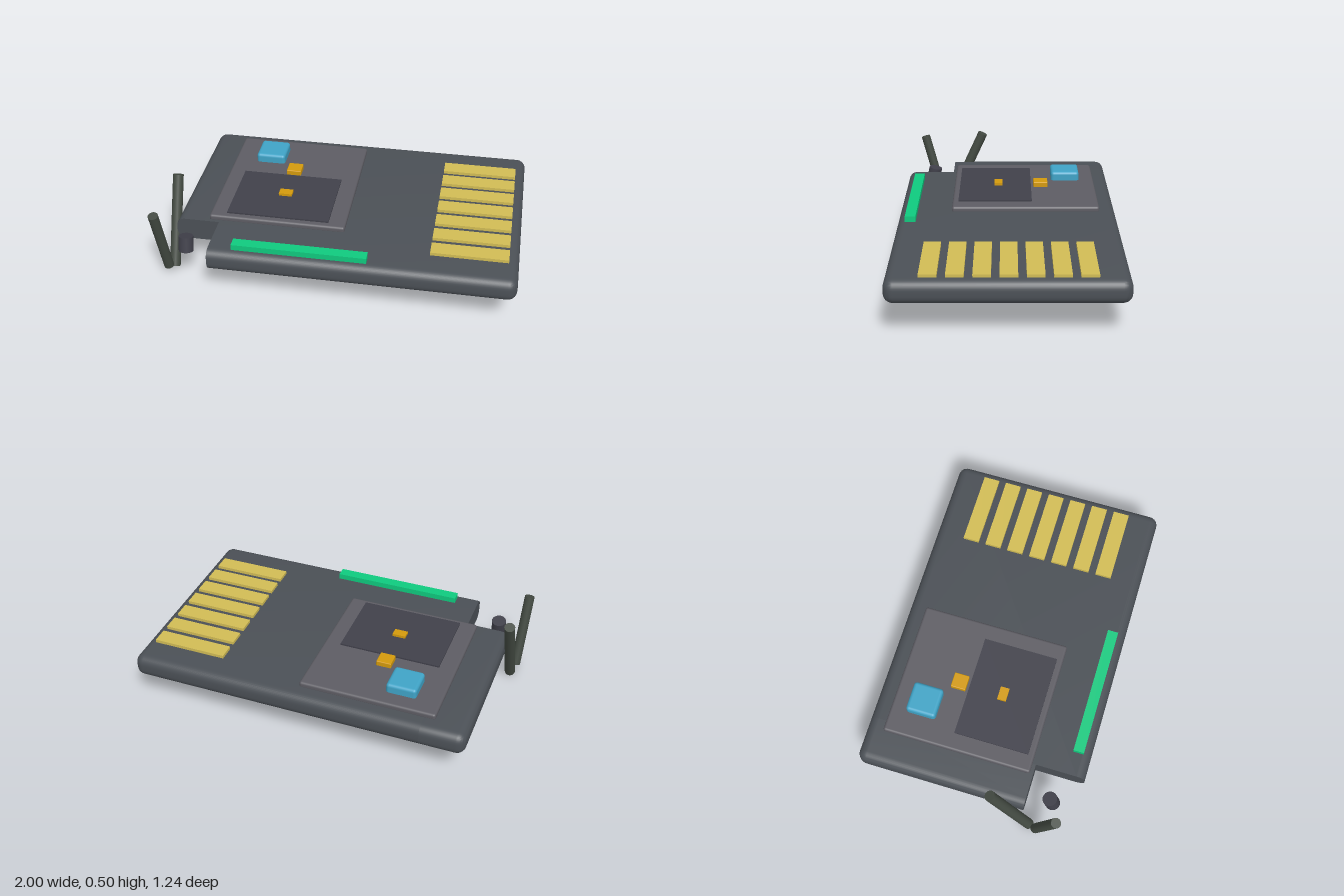
import * as THREE from 'three';
import { toCreasedNormals } from 'three/addons/utils/BufferGeometryUtils.js';
import { RoundedBoxGeometry } from 'three/addons/geometries/RoundedBoxGeometry.js';

const mat = (color) => new THREE.MeshStandardMaterial({ color });
const slate = mat(0x4b5056), panelGrey = mat(0x5d5c63), charcoal = mat(0x40404a), gold = mat(0xd1bc55);
const blue = mat(0x3fa3c6), amber = mat(0xd39a0c), green = mat(0x0fc97e), olive = mat(0x434a42);

export function createModel() {
  const model = new THREE.Group();

  const add = (name, geometry, material) => {
    const mesh = new THREE.Mesh(geometry, material);
    mesh.name = name;
    model.add(mesh);
    return mesh;
  };

  // Block given by its extents; radius > 0 rounds its edges
  const block = (name, material, [x0, x1], [y0, y1], [z0, z1], radius = 0) => {
    const size = [x1 - x0, y1 - y0, z1 - z0];
    const geometry = radius ? new RoundedBoxGeometry(...size, 3, radius) : new THREE.BoxGeometry(...size);
    add(name, geometry, material).position.set((x0 + x1) / 2, (y0 + y1) / 2, (z0 + z1) / 2);
  };

  // Rounded slab cut flat where it crosses the given limits
  const cutSlab = (name, xMin, xMax, zMax) => {
    const geometry = new RoundedBoxGeometry(1.91, 0.13, 1.24, 4, 0.05);
    geometry.translate(0.04, 0.255, 0);
    const p = geometry.attributes.position;
    for (let i = 0; i < p.count; i++) {
      p.setX(i, THREE.MathUtils.clamp(p.getX(i), xMin, xMax));
      p.setZ(i, Math.min(p.getZ(i), zMax));
    }
    add(name, toCreasedNormals(geometry, 0.6), slate);
  };

  // Rod between two points
  const rod = (name, material, from, to, radius) => {
    const a = new THREE.Vector3(...from), b = new THREE.Vector3(...to);
    const mesh = add(name, new THREE.CylinderGeometry(radius, radius, a.distanceTo(b), 20), material);
    mesh.position.copy(a).add(b).multiplyScalar(0.5);
    mesh.quaternion.setFromUnitVectors(new THREE.Vector3(0, 1, 0), b.sub(a).normalize());
  };

  // Body with a square notch in the front corner
  cutSlab('body', -0.67, 2, 2);
  cutSlab('bodyNotchSide', -2, -0.67, 0.34);

  // Raised panel, screen and buttons
  block('panel', panelGrey, [-0.73, 0.035], [0.31, 0.348], [-0.525, 0.32], 0.014);
  block('screen', charcoal, [-0.635, -0.06], [0.335, 0.357], [-0.14, 0.285]);
  block('blueButton', blue, [-0.595, -0.425], [0.33, 0.4], [-0.435, -0.265], 0.018);
  block('amberButton', amber, [-0.39, -0.305], [0.335, 0.377], [-0.24, -0.155], 0.005);
  block('screenMarker', amber, [-0.385, -0.31], [0.345, 0.372], [0.03, 0.08]);

  // Row of contact strips and the light bar
  for (let i = 0; i < 7; i++) {
    const z = -0.408 + i * 0.1345;
    block(`contactStrip${i + 1}`, gold, [0.52, 0.94], [0.31, 0.338], [z - 0.046, z + 0.046]);
  }
  block('lightBar', green, [-0.54, 0.195], [0.31, 0.352], [0.515, 0.575]);

  // Hinge peg and crossed rods beside the notch
  rod('hingePeg', charcoal, [-0.825, 0.212, 0.484], [-0.825, 0.298, 0.464], 0.041);
  rod('frontRod', olive, [-0.958, 0.047, 0.425], [-0.974, 0.463, 0.535], 0.028);
  rod('rearRod', olive, [-0.938, 0.014, 0.382], [-0.942, 0.493, 0.161], 0.03);

  return model;
}
